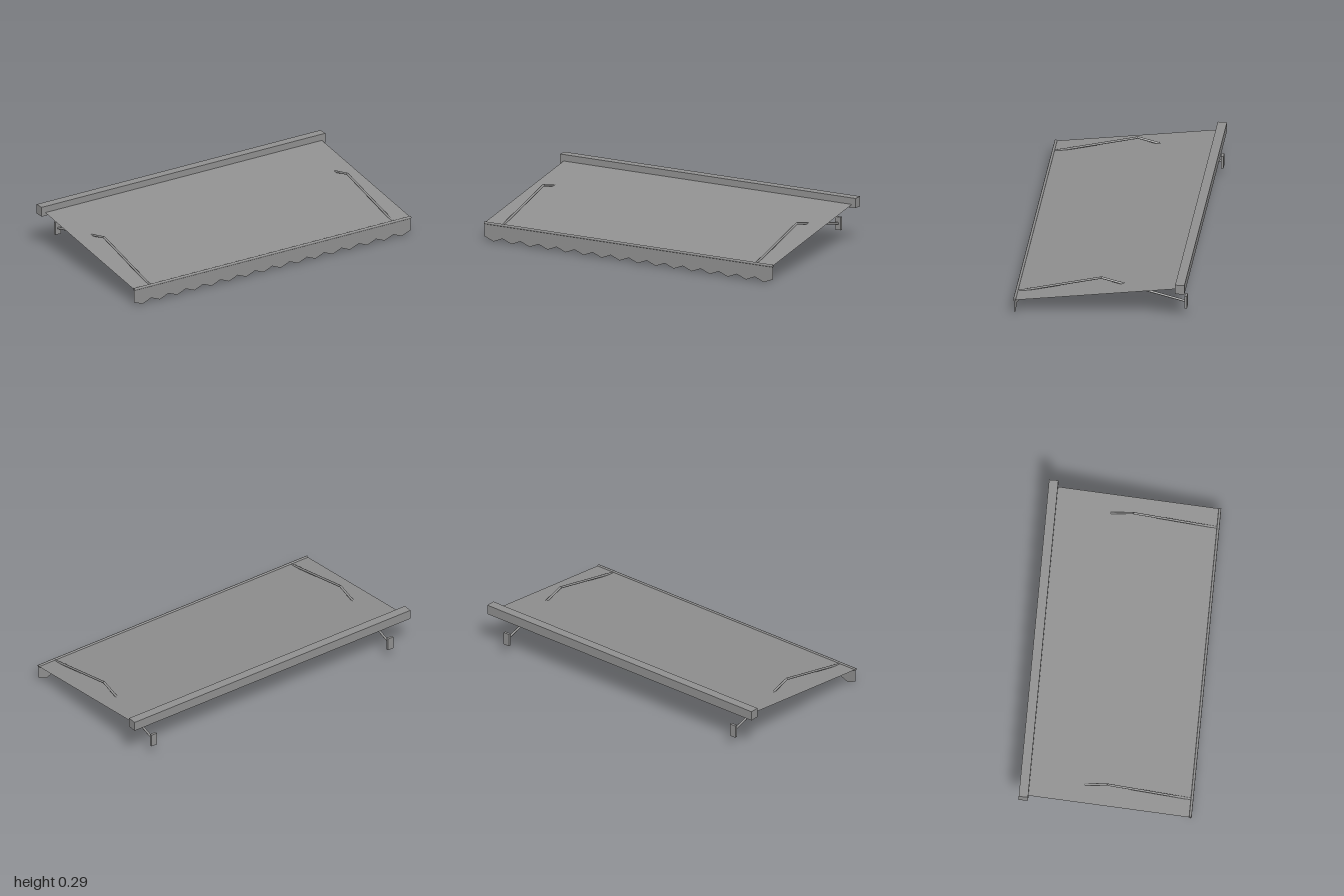
import * as THREE from 'three';

export function createModel() {
  const model = new THREE.Group();
  model.name = 'awning';
  const grey = new THREE.MeshStandardMaterial({ color: 0x909090, side: THREE.DoubleSide });
  grey.name = 'grey';

  const add = (name, geometry, x = 0, y = 0, z = 0, parent = model) => {
    const mesh = new THREE.Mesh(geometry, grey);
    mesh.name = name;
    mesh.position.set(x, y, z);
    parent.add(mesh);
    return mesh;
  };

  // Round rod between two points
  const rod = (name, from, to, radius, parent) => {
    const dir = to.clone().sub(from);
    const mid = from.clone().add(to).multiplyScalar(0.5);
    const mesh = add(name, new THREE.CylinderGeometry(radius, radius, dir.length(), 8), mid.x, mid.y, mid.z, parent);
    mesh.quaternion.setFromUnitVectors(new THREE.Vector3(0, 1, 0), dir.normalize());
    return mesh;
  };

  const halfWidth = 0.975;
  const frontY = 0.108, frontZ = 0.504;
  const backY = 0.252, backZ = -0.47;

  // Cassette holding the rolled fabric
  add('cassette', new THREE.BoxGeometry(2, 0.06, 0.055), 0, 0.26, -0.4845);

  // Sloping fabric sheet
  const drop = backY - frontY, reach = frontZ - backZ;
  const sheet = new THREE.PlaneGeometry(2 * halfWidth, Math.hypot(drop, reach));
  sheet.rotateX(-Math.PI / 2 + Math.atan2(drop, reach));
  add('canopy', sheet, 0, (frontY + backY) / 2, (frontZ + backZ) / 2);

  // Front bar
  rod('frontBar', new THREE.Vector3(-halfWidth, frontY, frontZ), new THREE.Vector3(halfWidth, frontY, frontZ), 0.008);

  // Hanging valance with a zigzag hem
  const points = 16, step = (2 * halfWidth) / points;
  const shape = new THREE.Shape();
  shape.moveTo(halfWidth, frontY);
  shape.lineTo(-halfWidth, frontY);
  shape.lineTo(-halfWidth, 0.025);
  for (let i = 0; i < points; i++) {
    const x = -halfWidth + i * step;
    shape.lineTo(x + step / 2, 0);
    shape.lineTo(x + step, 0.025);
  }
  add('valance', new THREE.ShapeGeometry(shape), 0, 0, frontZ);

  // Folding arms with wall brackets, one on each side
  for (const [side, x] of [['left', 0.857], ['right', -0.857]]) {
    const arm = new THREE.Group();
    arm.name = side + 'Arm';
    model.add(arm);
    const elbow = new THREE.Vector3(x, 0.23, 0);
    rod('rearArm', new THREE.Vector3(x, 0.108, -0.498), elbow, 0.007, arm);
    rod('frontArm', elbow, new THREE.Vector3(x, 0.104, 0.5), 0.007, arm);
    add('wallBracket', new THREE.BoxGeometry(0.04, 0.08, 0.015), x, 0.108, -0.5045, arm);
  }
  return model;
}
